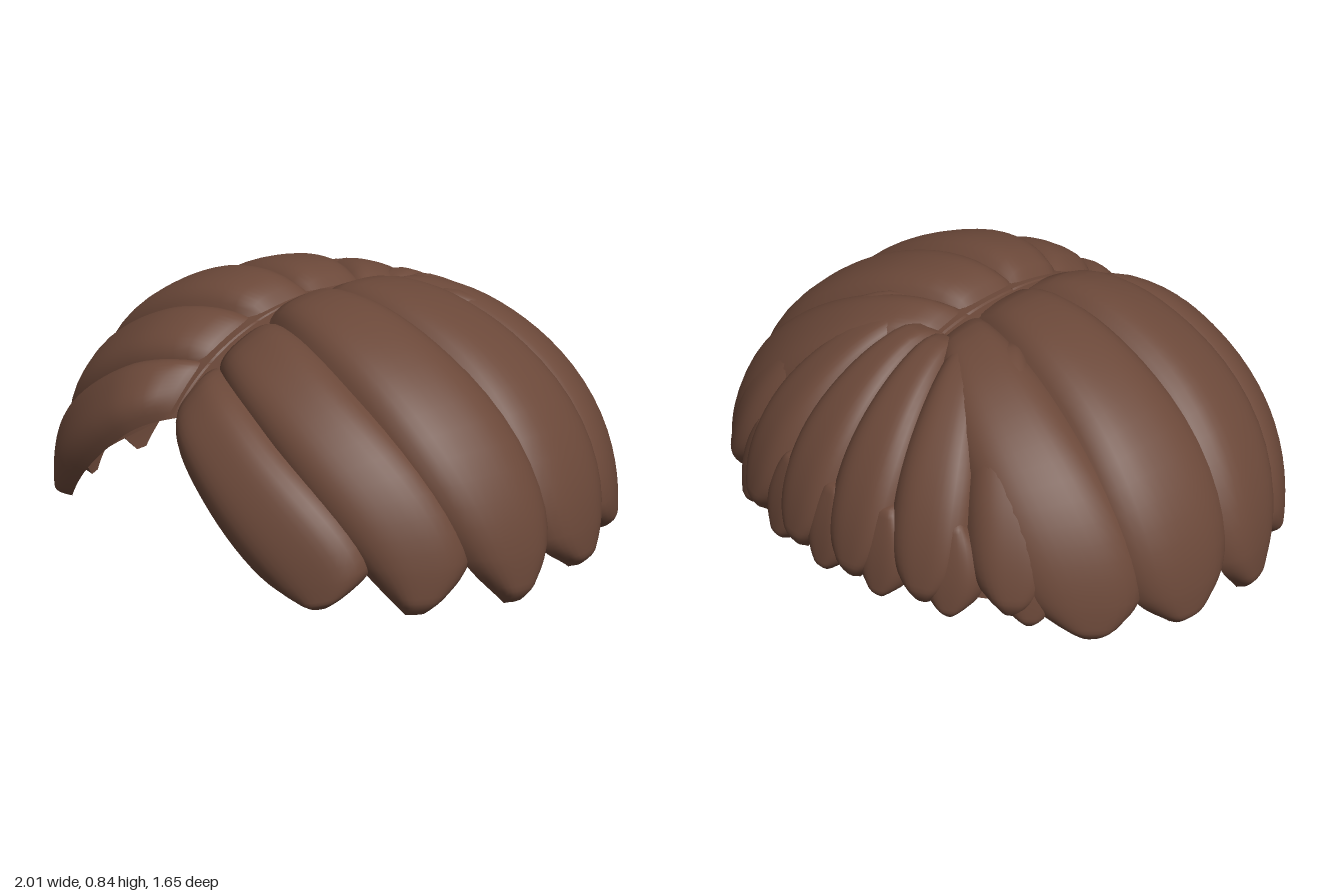
import * as THREE from 'three';

const CY = 0.08;                          // height of the dome centre
const AX = [0.955, 0.74, 0.84], P = 2.15; // dome half sizes and roundness

// Push a rough point onto the dome, raised by an offset
function onDome(p, offset) {
  const d = new THREE.Vector3(p.x, p.y - CY, p.z);
  const sum = d.toArray().reduce((t, c, i) => t + Math.pow(Math.abs(c / AX[i]), P), 0);
  d.multiplyScalar(Math.pow(sum, -1 / P));
  d.setLength(d.length() + offset);
  d.y += CY;
  return d;
}

// Geometry from grids of points; every grid keeps its own normals
function gridGeometry(grids) {
  const pos = [], idx = [];
  for (const { rows, flip } of grids) {
    const base = pos.length / 3, w = rows[0].length;
    rows.forEach(r => r.forEach(p => pos.push(p.x, p.y, p.z)));
    for (let i = 0; i < rows.length - 1; i++) {
      for (let j = 0; j < w - 1; j++) {
        const a = base + i * w + j, b = a + w;
        if (flip) idx.push(a, a + 1, b, b, a + 1, b + 1);
        else idx.push(a, b, a + 1, b, b + 1, a + 1);
      }
    }
  }
  const g = new THREE.BufferGeometry();
  g.setAttribute('position', new THREE.Float32BufferAttribute(pos, 3));
  g.setIndex(idx);
  g.computeVertexNormals();
  return g;
}

// Mirror a point to its side, keeping the parting open
function place(q, side, slit) {
  if (slit && q.z > -0.3) q.x = Math.max(q.x, slit);
  q.x *= side;
  return q;
}

// A lock of hair between two edge curves, bulging outward, closed by an inner face
function lockGeometry(front, rear, { lift, bulge, dip, side = 1, slit = 0, overlap = 0 }) {
  const f = new THREE.CatmullRomCurve3(front), r = new THREE.CatmullRomCurve3(rear);
  const NU = 30, NV = 14, outer = [], inner = [];
  for (let i = 0; i <= NU; i++) {
    const u = i / NU, a = f.getPoint(u), b = r.getPoint(u);
    const ends = Math.sqrt(Math.min(1, u / 0.08, (1 - u) / 0.12));
    const base = lift - 0.03 - dip * Math.pow(Math.max(0, 1 - u / 0.22), 2);
    const o = [], n = [];
    for (let j = 0; j <= NV; j++) {
      const v = j / NV, p = a.clone().lerp(b, v * (1 + 2 * overlap) - overlap);
      const swell = (0.03 + bulge) * ends * (1 - Math.pow(Math.abs(2 * v - 1), 3.5));
      o.push(place(onDome(p, base + swell), side, slit));
      n.push(place(onDome(p, base), side, slit));
    }
    outer.push(o);
    inner.push(n);
  }
  return gridGeometry([{ rows: outer, flip: side < 0 }, { rows: inner, flip: side > 0 }]);
}

// Half of the thin inner cap, open over the face and slit along the parting
function capGeometry(side) {
  const rows = [];
  for (let i = 0; i <= 24; i++) {
    const row = [];
    for (let j = 0; j <= 48; j++) {
      const t = j / 48 * Math.PI;
      const low = Math.max(0.11, 0.55 - 0.68 * t);
      const e = Math.PI / 2 + (low - Math.PI / 2) * i / 24;
      const p = new THREE.Vector3(Math.cos(e) * Math.sin(t), CY + Math.sin(e), Math.cos(e) * Math.cos(t));
      row.push(place(onDome(p, -0.045), side, 0.006));
    }
    rows.push(row);
  }
  return gridGeometry([{ rows, flip: side < 0 }]);
}

// Seams between the side locks, front to back, from the parting downward
const SEAMS = [
  [[0, 0.5, 0.66], [0.25, 0.37, 0.82], [0.54, 0.1, 0.74]],
  [[0, 0.66, 0.54], [0.42, 0.52, 0.66], [0.73, 0.17, 0.54]],
  [[0, 0.78, 0.32], [0.52, 0.67, 0.42], [0.89, 0.17, 0.28]],
  [[0, 0.85, 0.1], [0.56, 0.72, 0.07], [0.97, 0.17, 0]],
  [[0, 0.82, -0.15], [0.55, 0.68, -0.3], [0.92, 0.17, -0.34]],
  [[0, 0.79, -0.33], [0.4, 0.61, -0.61], [0.68, 0.22, -0.63]],
].map(s => s.map(p => new THREE.Vector3(...p)));

// The lock after each seam: its tip, and how far it lies above its neighbours
const SIDE_LOCKS = [
  { name: 'FringeLock', tip: [0.65, 0.02, 0.64], lift: 0.024, dip: 0.08 },
  { name: 'TempleLock', tip: [0.83, -0.02, 0.43], lift: 0.012, dip: 0.07 },
  { name: 'SideLock', tip: [0.95, -0.03, 0.13], lift: 0.025, dip: 0.06 },
  { name: 'EarLock', tip: [0.95, 0, -0.19], lift: 0.012, dip: 0.05 },
  { name: 'RearSideLock', tip: [0.82, 0.02, -0.47], lift: 0.003, dip: 0.04 },
];

// Seam continued to a slightly blunt tip
function edgeToTip(seam, tip) {
  return [...seam, new THREE.Vector3(...tip).lerp(seam[2], 0.15)];
}

// Locks that fan down the back: [radius, height, half angle] at each step
const LONG = [[0.3, 0.8, 0.2], [0.55, 0.66, 0.19], [0.75, 0.45, 0.18], [0.82, 0.25, 0.14], [0.8, 0.13, 0.02]];
const SHORT = [[0.76, 0.42, 0.04], [0.8, 0.33, 0.11], [0.82, 0.24, 0.13], [0.81, 0.17, 0.1], [0.8, 0.1, 0.01]];

function backLockGeometry(steps, angle, options) {
  const edge = s => steps.map(([r, y, w]) =>
    new THREE.Vector3(r * Math.sin(angle + s * w), y, -r * Math.cos(angle + s * w)));
  return lockGeometry(edge(1), edge(-1), options);
}

export function createModel() {
  const hair = new THREE.MeshStandardMaterial({ color: 0x6b4839, side: THREE.DoubleSide });
  hair.name = 'brownHair';
  const model = new THREE.Group();
  model.name = 'hairstyle';
  const add = (name, geometry) => {
    const m = new THREE.Mesh(geometry, hair);
    m.name = name;
    model.add(m);
  };

  // Inner cap and side locks, mirrored
  for (const side of [1, -1]) {
    const label = side > 0 ? 'left' : 'right';
    add(label + 'InnerCap', capGeometry(side));
    SIDE_LOCKS.forEach(({ name, tip, lift, dip }, i) => {
      const front = edgeToTip(SEAMS[i], tip), rear = edgeToTip(SEAMS[i + 1], tip);
      add(label + name, lockGeometry(front, rear,
        { lift, dip, bulge: 0.03, side, slit: 0.008, overlap: 0.06 }));
    });
  }

  // Long locks from the crown down the back
  for (const angle of [-0.78, -0.46, -0.15, 0.15, 0.46, 0.78]) {
    add('backLock', backLockGeometry(LONG, angle, { lift: 0, bulge: 0.028, dip: 0.02 }));
  }

  // Short locks along the nape
  for (let i = -3; i <= 3; i++) {
    add('napeLock', backLockGeometry(SHORT, i * 0.28, { lift: -0.005, bulge: 0.02, dip: 0 }));
  }
  return model;
}
